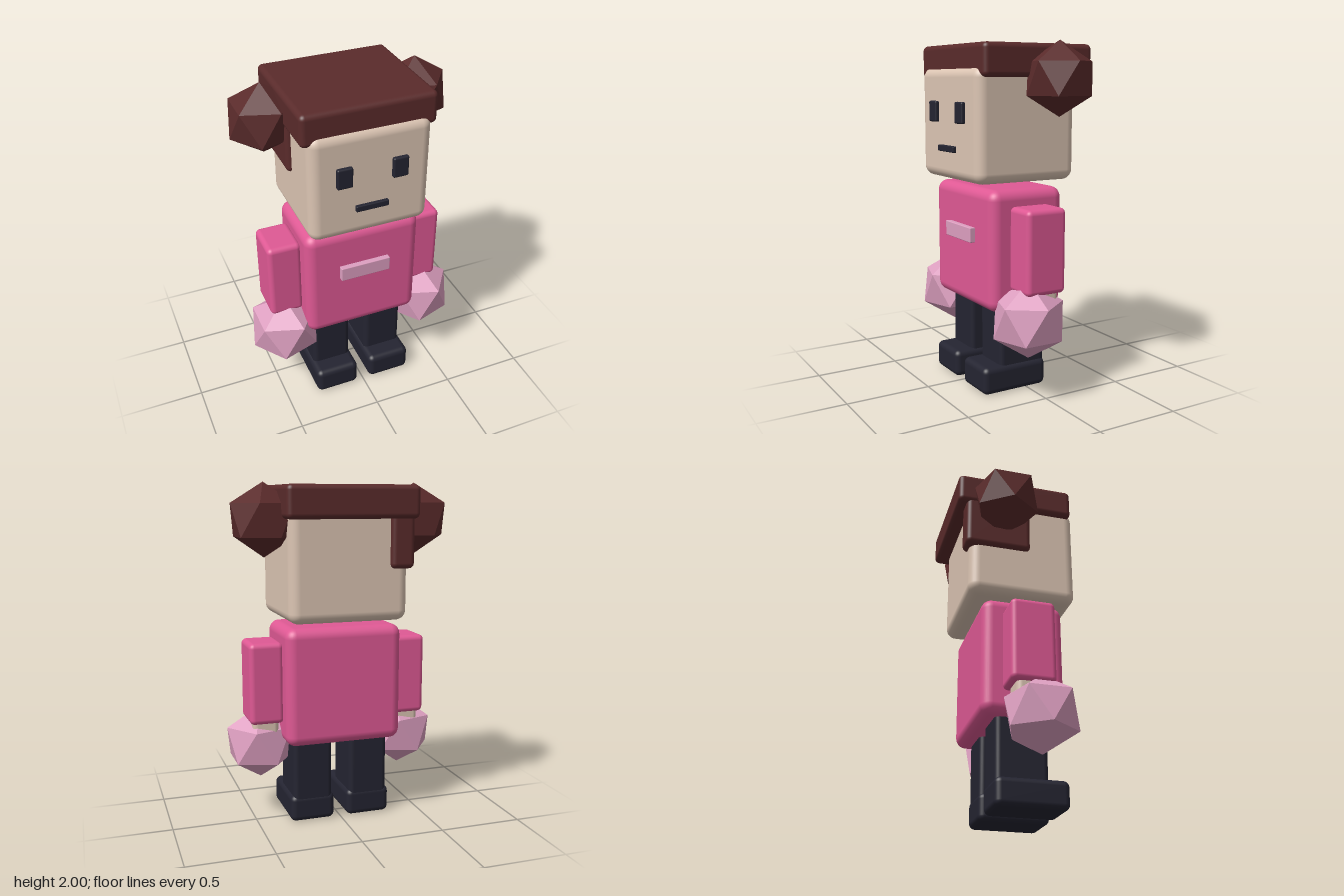
import * as THREE from 'three';
import { RoundedBoxGeometry } from 'three/addons/geometries/RoundedBoxGeometry.js';

const paint = (name, color) => {
  const m = new THREE.MeshStandardMaterial({ color });
  m.name = name;
  return m;
};

export function createModel() {
  const skin = paint('skin', 0xdcc5b3);
  const hair = paint('dark red hair', 0x5a2b2b);
  const shirt = paint('pink shirt', 0xdf5994);
  const lightPink = paint('light pink', 0xdd9fc0);
  const dark = paint('dark navy', 0x242431);

  const model = new THREE.Group();
  model.name = 'blockFigure';

  const add = (name, geometry, material, x, y, z) => {
    const mesh = new THREE.Mesh(geometry, material);
    mesh.name = name;
    mesh.position.set(x, y, z);
    model.add(mesh);
    return mesh;
  };

  // Soft-edged block given by its extents on each axis
  const block = (name, material, [x0, x1], [y0, y1], [z0, z1], radius) =>
    add(name, new RoundedBoxGeometry(x1 - x0, y1 - y0, z1 - z0, 4, radius), material,
      (x0 + x1) / 2, (y0 + y1) / 2, (z0 + z1) / 2);

  // Faceted ball standing on one of its points
  const ball = (name, material, radius, x, y, z) => {
    const mesh = add(name, new THREE.IcosahedronGeometry(radius, 0), material, x, y, z);
    mesh.rotation.z = -Math.atan(2 / (1 + Math.sqrt(5)));
    return mesh;
  };

  // Head and torso
  block('head', skin, [-0.35, 0.35], [1.22, 1.86], [-0.29, 0.35], 0.06);
  block('torso', shirt, [-0.35, 0.35], [0.49, 1.185], [-0.21, 0.264], 0.06);
  block('chestBadge', lightPink, [-0.152, 0.152], [0.87, 0.957], [0.25, 0.295], 0.005);

  // Hair: cap and one side lock at the right rear corner
  block('hairCap', hair, [-0.383, 0.383], [1.8, 1.985], [-0.373, 0.327], 0.03);
  block('hairLock', hair, [-0.375, -0.235], [1.52, 1.9], [-0.32, 0.07], 0.03);

  // Face
  block('mouth', dark, [-0.096, 0.096], [1.382, 1.418], [0.33, 0.37], 0.006);

  for (const s of [-1, 1]) {
    const side = s > 0 ? 'left' : 'right';
    const span = (a, b) => (s > 0 ? [a, b] : [-b, -a]);

    block(side + 'Eye', dark, span(0.115, 0.205), [1.547, 1.667], [0.33, 0.372], 0.01);
    ball(side + 'HairBun', hair, 0.207, s * 0.45, 1.793, -0.103);

    // Arm, hand and the faceted puff held in it
    block(side + 'Arm', shirt, span(0.34, 0.542), [0.615, 1.095], [-0.1, 0.152], 0.03);
    block(side + 'Hand', skin, span(0.365, 0.52), [0.53, 0.66], [-0.065, 0.115], 0.03);
    ball(side + 'Puff', lightPink, 0.223, s * 0.448, 0.465, 0.088);

    // Leg and shoe
    block(side + 'Leg', dark, span(0.055, 0.293), [0.08, 0.56], [-0.122, 0.176], 0.03);
    block(side + 'Shoe', dark, span(0.04, 0.31), [0, 0.162], [-0.125, 0.29], 0.035);
  }

  return model;
}
